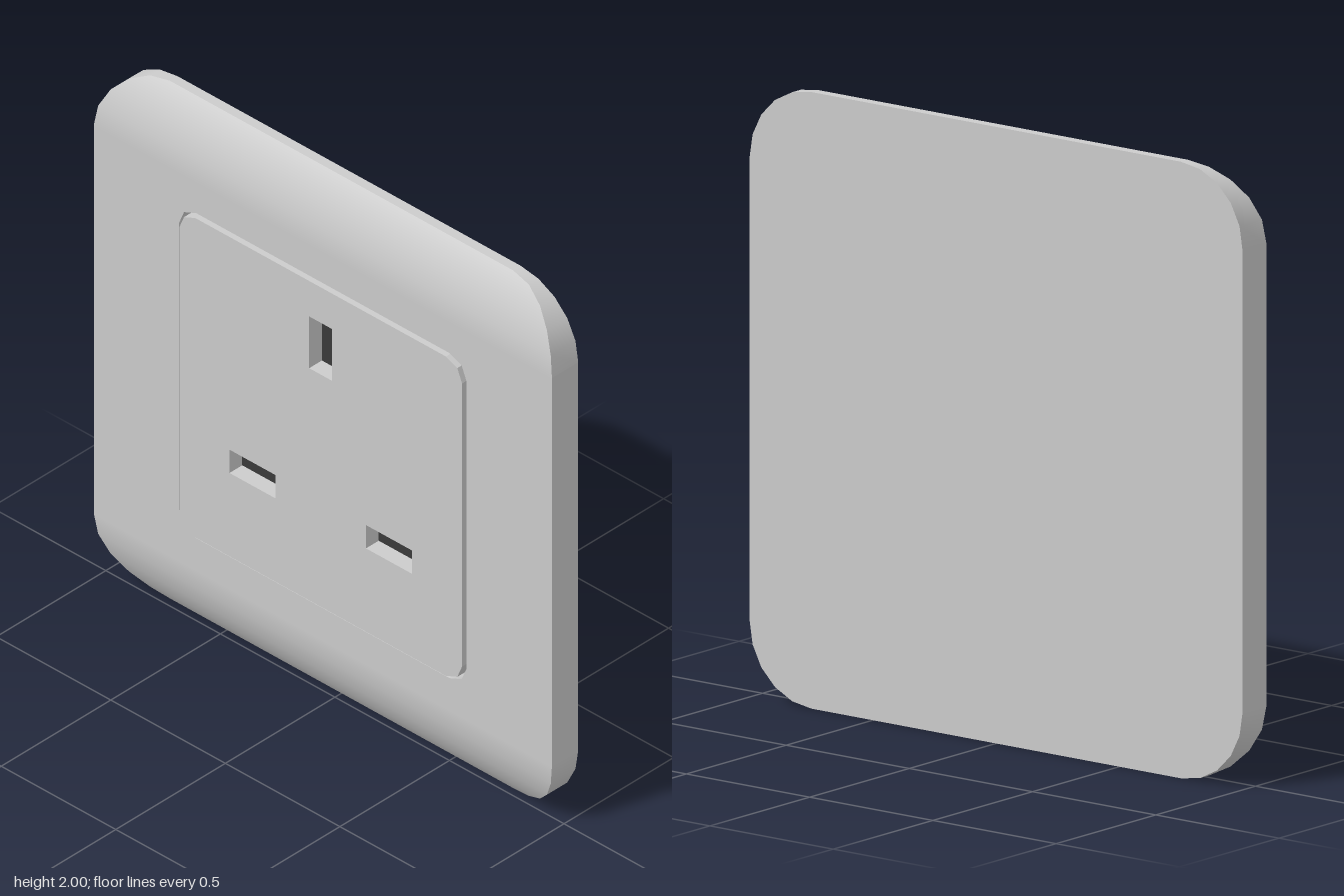
import * as THREE from 'three';

const BACK = -0.065, FACE = 0.055, PANEL = 0.065, FLOOR = 0.005;
const CORNER = 0.25, STEPS = 5, BULGE = 0.41;

const grey = new THREE.MeshStandardMaterial({ color: 0xcccccc });
const dark = new THREE.MeshStandardMaterial({ color: 0x3a3a3a });

function part(group, name, geometry, material = grey) {
  const mesh = new THREE.Mesh(geometry, material);
  mesh.name = name;
  group.add(mesh);
  return mesh;
}

// Counter-clockwise rounded square around the origin
function roundedSquare(half, radius, steps) {
  const points = [];
  for (let q = 0; q < 4; q++) {
    const mid = (q + 0.5) * Math.PI / 2;
    const cx = Math.sign(Math.cos(mid)) * (half - radius);
    const cy = Math.sign(Math.sin(mid)) * (half - radius);
    for (let i = 0; i <= steps; i++) {
      const a = (q + i / steps) * Math.PI / 2;
      points.push(new THREE.Vector2(cx + radius * Math.cos(a), cy + radius * Math.sin(a)));
    }
  }
  return points;
}

// Front surface curves back towards the top and bottom edges only
function frontZ(y) {
  const d = Math.max(0, Math.abs(y) - (1 - CORNER));
  return FACE - BULGE + Math.sqrt(BULGE * BULGE - d * d);
}

// Strip of quads between two rows of Vector3
function strip(a, b) {
  const index = [];
  for (let i = 0; i < a.length - 1; i++) {
    const j = a.length + i;
    index.push(i, i + 1, j + 1, i, j + 1, j);
  }
  const geometry = new THREE.BufferGeometry().setFromPoints([...a, ...b]);
  geometry.setIndex(index);
  geometry.computeVertexNormals();
  return geometry;
}

// Curved end of the front face, built from horizontal cross-sections
function curvedEnd(sign) {
  const left = [], right = [];
  for (let i = 0; i <= STEPS; i++) {
    const a = i / STEPS * Math.PI / 2;
    const w = 1 - CORNER + CORNER * Math.cos(a);
    const y = sign * (1 - CORNER + CORNER * Math.sin(a));
    left.push(new THREE.Vector3(-w, y, frontZ(y)));
    right.push(new THREE.Vector3(w, y, frontZ(y)));
  }
  const geometry = sign > 0 ? strip(right, left) : strip(left, right);
  const position = geometry.attributes.position, normal = geometry.attributes.normal;
  for (let i = 0; i < position.count; i++) {
    const y = position.getY(i);
    const s = (Math.abs(y) - (1 - CORNER)) / BULGE;
    normal.setXYZ(i, 0, Math.sign(y) * s, Math.sqrt(Math.max(0, 1 - s * s)));
  }
  return geometry;
}

function rectangle(cx, cy, w, h, Type) {
  return new Type([[-1, -1], [1, -1], [1, 1], [-1, 1]].map(
    ([x, y]) => new THREE.Vector2(cx + x * w / 2, cy + y * h / 2)));
}

export function createModel() {
  const model = new THREE.Group();
  model.name = 'wallSocket';
  const body = new THREE.Group();
  body.name = 'body';
  body.position.y = 1;
  model.add(body);

  // Outer frame: flat middle with opening, curved ends, rim and back
  const frame = new THREE.Group();
  frame.name = 'frame';
  body.add(frame);
  const opening = roundedSquare(0.628, 0.075, 2);
  const face = rectangle(0, 0, 2, 2 * (1 - CORNER), THREE.Shape);
  face.holes.push(new THREE.Path(opening));
  part(frame, 'frameFace', new THREE.ShapeGeometry(face).translate(0, 0, FACE));
  part(frame, 'frameTopCurve', curvedEnd(1));
  part(frame, 'frameBottomCurve', curvedEnd(-1));

  const outline = roundedSquare(1, CORNER, STEPS);
  const ring = [...outline, outline[0]];
  part(frame, 'frameRim', strip(
    ring.map(p => new THREE.Vector3(p.x, p.y, BACK)),
    ring.map(p => new THREE.Vector3(p.x, p.y, frontZ(p.y)))));
  part(frame, 'frameBack', new THREE.ShapeGeometry(new THREE.Shape(outline))
    .rotateY(Math.PI).translate(0, 0, BACK));

  const lip = [...opening, opening[0]];
  part(frame, 'openingWall', strip(
    lip.map(p => new THREE.Vector3(p.x, p.y, FACE)),
    lip.map(p => new THREE.Vector3(p.x, p.y, FLOOR))));

  // Dark floor seen through the gap and the pin slots
  part(body, 'recessFloor', new THREE.ShapeGeometry(new THREE.Shape(opening))
    .translate(0, 0, FLOOR), dark);

  // Raised centre panel with three pin slots
  const panel = new THREE.Shape(roundedSquare(0.617, 0.07, 2));
  panel.holes.push(rectangle(0, 0.38, 0.1, 0.2, THREE.Path));
  for (const side of [-1, 1]) {
    panel.holes.push(rectangle(side * 0.298, -0.25, 0.2, 0.09, THREE.Path));
  }
  part(body, 'socketPanel', new THREE.ExtrudeGeometry(panel, {
    depth: PANEL - FLOOR - 0.002, bevelEnabled: false,
  }).translate(0, 0, FLOOR + 0.002));

  return model;
}
